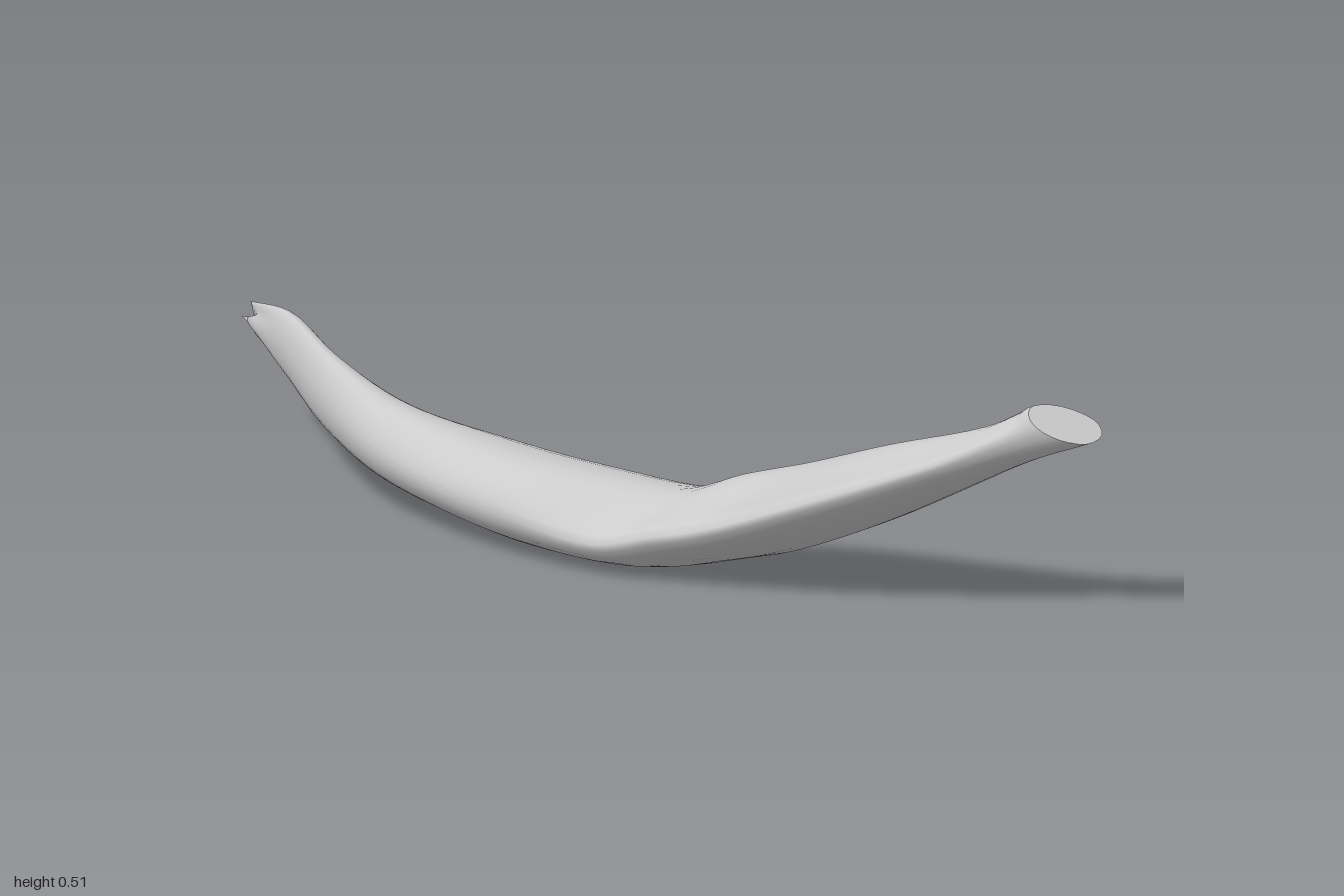
import * as THREE from 'three';

const material = new THREE.MeshStandardMaterial({ color: 0xcccccc, side: THREE.DoubleSide });

// Stations from the withered tip to the cut stem:
// centre x, y, z, half width, half height, blend from rounded to faceted section
const stations = [
  [-0.522, 0.265, -0.92, 0.009, 0.034, 0],
  [-0.501, 0.250, -0.80, 0.031, 0.070, 0],
  [-0.495, 0.202, -0.60, 0.043, 0.085, 0],
  [-0.444, 0.152, -0.40, 0.079, 0.086, 0],
  [-0.337, 0.119, -0.20, 0.133, 0.089, 0],
  [-0.223, 0.100, 0.00, 0.168, 0.093, 0],
  [-0.075, 0.089, 0.20, 0.195, 0.085, 0.5],
  [-0.005, 0.130, 0.30, 0.190, 0.094, 0.8],
  [0.062, 0.170, 0.40, 0.177, 0.095, 1],
  [0.183, 0.270, 0.60, 0.143, 0.085, 1],
  [0.330, 0.379, 0.80, 0.095, 0.059, 0.9],
  [0.418, 0.440, 0.89, 0.070, 0.058, 0.5],
  [0.476, 0.472, 0.945, 0.066, 0.059, 0],
];
const SIDES = 24, RINGS = 60;
const spine = new THREE.CatmullRomCurve3(stations.map(s => new THREE.Vector3(s[0], s[1], s[2])));
const sizes = new THREE.CatmullRomCurve3(
  stations.map(s => new THREE.Vector3(s[3], s[4], s[5])), false, 'catmullrom');

// Unit cross-sections, counter-clockwise from the +x side
const section = pts => new THREE.CatmullRomCurve3(
  pts.map(([u, v]) => new THREE.Vector3(u, v, 0)), true);
const rounded = section([[1, 0], [0.5, 0.8], [-0.3, 1], [-0.8, 0.6],
  [-1, 0], [-0.75, -0.65], [-0.1, -1], [0.7, -0.7]]);
const faceted = section([[1, 0.1], [0.8, 0.8], [0.35, 1], [-0.35, 0.4],
  [-1, -0.2], [-0.7, -0.7], [0.3, -1], [0.85, -0.65]]);

// Point on the skin: t along the spine, s around the section
function skinPoint(t, s) {
  const c = spine.getPoint(t), size = sizes.getPoint(t), T = spine.getTangent(t);
  const p = rounded.getPoint(s).lerp(faceted.getPoint(s), size.z);
  const u = size.x * p.x, v = size.y * p.y;
  // The stem is cut at a slant, the tip is ragged
  const slant = -0.95 * v * THREE.MathUtils.smoothstep(t, 0.88, 1);
  const ragged = 0.018 * Math.sin(s * Math.PI * 6 + 1) * (1 - THREE.MathUtils.smoothstep(t, 0, 0.08));
  return c.add(new THREE.Vector3(u, v, 0)).addScaledVector(T, slant + ragged);
}

function surface(points, index) {
  const g = new THREE.BufferGeometry().setFromPoints(points);
  g.setIndex(index);
  g.computeVertexNormals();
  return g;
}

function addMesh(group, name, geometry) {
  const mesh = new THREE.Mesh(geometry, material);
  mesh.name = name;
  group.add(mesh);
}

// Fan that closes one ring
function endCap(t, flip) {
  const pts = [], index = [], centre = new THREE.Vector3();
  for (let j = 0; j < SIDES; j++) {
    const p = skinPoint(t, j / SIDES);
    pts.push(p);
    centre.addScaledVector(p, 1 / SIDES);
  }
  pts.push(centre);
  for (let j = 0; j < SIDES; j++) {
    const k = (j + 1) % SIDES;
    index.push(SIDES, flip ? k : j, flip ? j : k);
  }
  return surface(pts, index);
}

export function createModel() {
  const group = new THREE.Group();
  group.name = 'curvedFruit';

  // Skin lofted along the spine
  const pts = [], index = [];
  for (let i = 0; i <= RINGS; i++) {
    for (let j = 0; j < SIDES; j++) pts.push(skinPoint(i / RINGS, j / SIDES));
  }
  for (let i = 0; i < RINGS; i++) {
    for (let j = 0; j < SIDES; j++) {
      const k = (j + 1) % SIDES, a = i * SIDES, b = a + SIDES;
      index.push(a + j, a + k, b + k, a + j, b + k, b + j);
    }
  }
  addMesh(group, 'skin', surface(pts, index));
  addMesh(group, 'stemCut', endCap(1, false));
  addMesh(group, 'tipEnd', endCap(0, true));

  // Dried shreds at the tip: root top, root bottom, point
  const shreds = [
    [[-0.50, 0.315, -0.80], [-0.51, 0.262, -0.82], [-0.525, 0.300, -0.91]],
    [[-0.515, 0.290, -0.84], [-0.52, 0.230, -0.86], [-0.532, 0.260, -0.965]],
  ];
  shreds.forEach(s => addMesh(group, 'tipShred',
    surface(s.map(p => new THREE.Vector3(...p)), [0, 1, 2])));

  return group;
}
